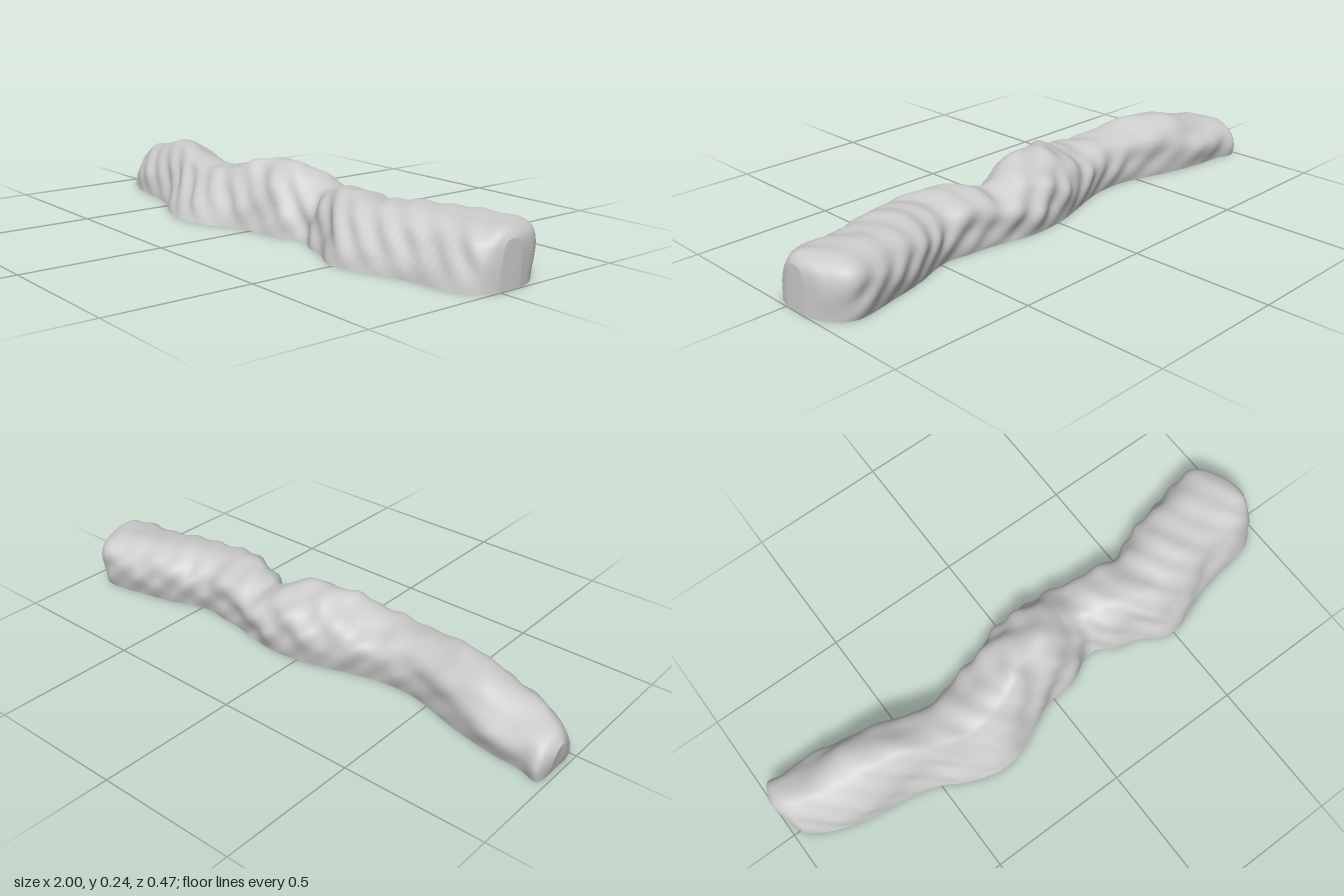
import * as THREE from 'three';

// Stations along the ridge:
// x, back z, front z, crest height, front steepness (0 sloped .. 1 boxy), back softness (0 wall .. 1 slope)
const STATIONS = [
  [-1.0, -0.14, -0.06, 0.1, 0.6, 0.5],
  [-0.97, -0.195, 0.01, 0.135, 0.5, 0.7],
  [-0.9, -0.178, 0.06, 0.16, 0.45, 0.7],
  [-0.79, -0.172, 0.1, 0.178, 0.5, 0.6],
  [-0.7, -0.155, 0.115, 0.208, 0.5, 0.6],
  [-0.6, -0.13, 0.13, 0.214, 0.45, 0.6],
  [-0.5, -0.1, 0.16, 0.2, 0.3, 0.5],
  [-0.42, -0.085, 0.205, 0.183, 0.15, 0.4],
  [-0.3, -0.09, 0.24, 0.175, 0.1, 0.4],
  [-0.2, -0.115, 0.225, 0.182, 0.15, 0.5],
  [-0.1, -0.145, 0.18, 0.228, 0.3, 0.75],
  [-0.02, -0.165, 0.145, 0.238, 0.45, 0.85],
  [0.1, -0.178, 0.13, 0.225, 0.45, 0.8],
  [0.17, -0.17, 0.095, 0.187, 0.45, 0.6],
  [0.23, -0.16, 0.085, 0.165, 0.5, 0.4],
  [0.3, -0.145, 0.125, 0.188, 0.55, 0.4],
  [0.38, -0.138, 0.145, 0.198, 0.6, 0.5],
  [0.46, -0.13, 0.192, 0.186, 0.55, 0.4],
  [0.53, -0.145, 0.195, 0.186, 0.55, 0.3],
  [0.62, -0.18, 0.165, 0.193, 0.6, 0.25],
  [0.74, -0.208, 0.128, 0.19, 0.7, 0.2],
  [0.9, -0.236, 0.105, 0.188, 0.7, 0.1],
  [0.972, -0.17, 0.06, 0.175, 0.75, 0.1],
  [0.997, -0.09, 0.0, 0.15, 0.8, 0],
];

// Half sections, back foot to crest and crest to front foot: depth and height fractions
const BACK_WALL = [[0.06, 0], [0.02, 0.38], [0, 0.68], [0.06, 0.86], [0.19, 0.96], [0.36, 1]];
const BACK_SOFT = [[0.04, 0], [0, 0.3], [0.04, 0.52], [0.15, 0.72], [0.32, 0.87], [0.48, 0.97]];
const FRONT_SLOPED = [[0.58, 0.95], [0.67, 0.79], [0.79, 0.53], [0.91, 0.25], [1, 0]];
const FRONT_BOXY = [[0.6, 1], [0.75, 0.95], [0.88, 0.8], [0.97, 0.42], [1, 0]];

const mix = (a, b, f) => a.map((p, k) => p.map((v, c) => THREE.MathUtils.lerp(v, b[k][c], f)));

// Smooth interpolation through rows of numbers
function sampleRows(rows, t) {
  const s = t * (rows.length - 1);
  const i = Math.min(Math.floor(s), rows.length - 2);
  const f = s - i;
  const at = (k) => rows[THREE.MathUtils.clamp(k, 0, rows.length - 1)];
  return rows[0].map((_, c) => {
    const [a, b, d, e] = [at(i - 1)[c], at(i)[c], at(i + 1)[c], at(i + 2)[c]];
    const m0 = (d - a) / 2, m1 = (e - b) / 2;
    return b + f * (m0 + f * (3 * (d - b) - 2 * m0 - m1 + f * (2 * (b - d) + m0 + m1)));
  });
}

// Patchy weathering dents, varying along, up and across the rock
function bump(x, y, z) {
  return Math.sin(21 * x + 4 * Math.sin(5 * x)) * Math.sin(30 * y + 24 * z + 7 * x) * 0.6
    + Math.sin(39 * x - 27 * z + 1.3) * Math.sin(41 * y + 19 * x) * 0.5
    + Math.sin(57 * x + 49 * y - 33 * z) * 0.22;
}

function ridgeGeometry(lengthSteps, roundSteps) {
  const positions = [], indices = [];
  const row = roundSteps + 1;
  const undercut = 0.018;
  for (let i = 0; i <= lengthSteps; i++) {
    const t = i / lengthSteps;
    const [x, back, front, height, steep, soft] = sampleRows(STATIONS, t);
    const section = [...mix(BACK_WALL, BACK_SOFT, soft), ...mix(FRONT_SLOPED, FRONT_BOXY, steep)];
    const endFade = Math.min(1, 12 * t, 12 * (1 - t));
    for (let j = 0; j <= roundSteps; j++) {
      const [u, v] = sampleRows(section, j / roundSteps);
      const z = THREE.MathUtils.lerp(back, front, u);
      const y = Math.max(0, v * height);
      const b = bump(x, y, z) * endFade;
      // The flanks and crest are dented, the foot stays on the ground
      const flank = Math.sin(Math.PI * THREE.MathUtils.clamp(v, 0, 1)) * (u < 0.5 ? -1 : 1);
      // The left end leans out over its foot
      const lean = undercut * (1 - v) ** 2 * Math.max(0, 1 - 24 * t);
      positions.push(x + lean, y + b * 0.009 * v, z + b * 0.014 * flank);
    }
  }
  for (let i = 0; i < lengthSteps; i++) {
    for (let j = 0; j < roundSteps; j++) {
      const a = i * row + j, b = a + row;
      indices.push(a, a + 1, b, a + 1, b + 1, b);
    }
  }
  // Close both ends; the underside stays open
  for (const first of [0, lengthSteps * row]) {
    const centre = positions.length / 3;
    const foot = first + roundSteps;
    positions.push(positions[first * 3], 0, (positions[first * 3 + 2] + positions[foot * 3 + 2]) / 2);
    for (let j = first; j < foot; j++) {
      if (first === 0) indices.push(centre, j + 1, j);
      else indices.push(centre, j, j + 1);
    }
  }
  const geometry = new THREE.BufferGeometry();
  geometry.setAttribute('position', new THREE.Float32BufferAttribute(positions, 3));
  geometry.setIndex(indices);
  geometry.computeVertexNormals();
  return geometry;
}

export function createModel() {
  const group = new THREE.Group();
  group.name = 'rockRidge';
  const stone = new THREE.MeshStandardMaterial({ color: 0xcccccc, side: THREE.DoubleSide });
  const shell = new THREE.Mesh(ridgeGeometry(168, 44), stone);
  shell.name = 'rockShell';
  group.add(shell);
  return group;
}
